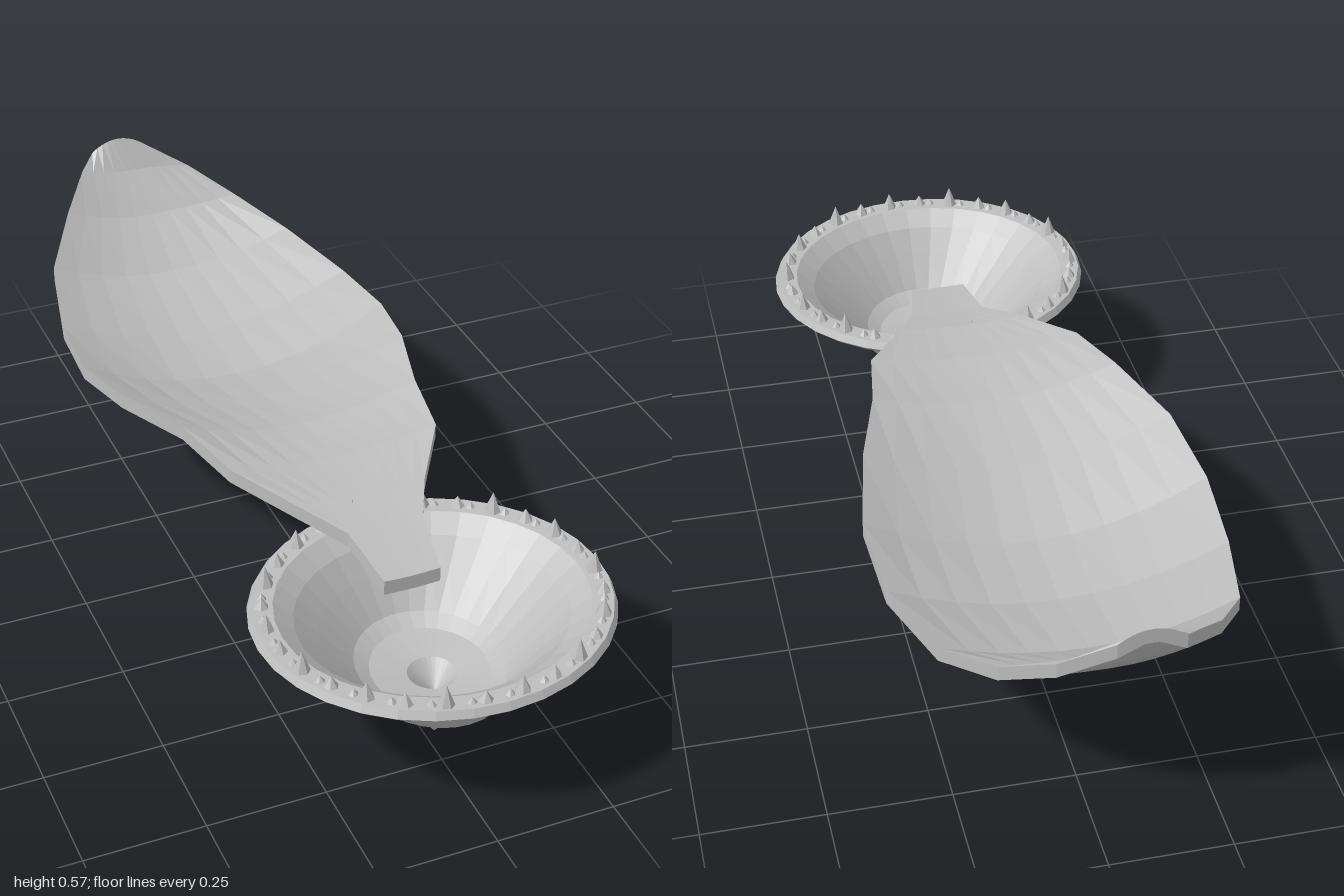
import * as THREE from 'three';

const grey = new THREE.MeshStandardMaterial({ color: 0xbebebe, flatShading: true });
grey.name = 'plain grey';

// Skins a list of equal-sized closed rings and caps both ends.
function loft(rings) {
  const n = rings[0].length, last = rings.length - 1;
  const pos = [], index = [];
  rings.forEach(ring => ring.forEach(p => pos.push(...p)));
  for (let i = 0; i < last; i++) {
    for (let j = 0; j < n; j++) {
      const k = (j + 1) % n;
      const a = i * n + j, b = i * n + k, c = a + n, d = b + n;
      index.push(a, b, c, b, d, c);
    }
  }
  for (const [row, flip] of [[0, true], [last, false]]) {
    const centre = pos.length / 3;
    pos.push(...[0, 1, 2].map(k => rings[row].reduce((s, p) => s + p[k], 0) / n));
    for (let j = 0; j < n; j++) {
      const a = row * n + j, b = row * n + (j + 1) % n;
      if (flip) index.push(centre, b, a);
      else index.push(centre, a, b);
    }
  }
  const g = new THREE.BufferGeometry();
  g.setAttribute('position', new THREE.Float32BufferAttribute(pos, 3));
  g.setIndex(index);
  g.computeVertexNormals();
  return g;
}

function part(name, geometry) {
  const mesh = new THREE.Mesh(geometry, grey);
  mesh.name = name;
  return mesh;
}

// Long scooped leaf: z, left x, right x, height at each edge, height along the middle
function leafGeometry() {
  const rows = [
    [0.575, -0.055, 0.067, 0.337, 0.337, 0.335],
    [0.43, -0.07, 0.095, 0.36, 0.36, 0.357],
    [0.34, -0.14, 0.14, 0.385, 0.382, 0.376],
    [0.2, -0.235, 0.23, 0.412, 0.406, 0.384],
    [0.04, -0.28, 0.255, 0.43, 0.416, 0.372],
    [-0.15, -0.35, 0.31, 0.412, 0.41, 0.328],
    [-0.34, -0.375, 0.345, 0.38, 0.38, 0.275],
    [-0.54, -0.36, 0.335, 0.367, 0.365, 0.28],
    [-0.75, -0.315, 0.275, 0.4, 0.385, 0.33],
    [-0.88, -0.235, 0.19, 0.465, 0.432, 0.42],
    [-0.96, -0.17, 0.1, 0.525, 0.49, 0.505],
    [-1, -0.13, 0, 0.55, 0.55, 0.575],
  ];
  const steps = 10;
  return loft(rows.map(([z, xl, xr, yl, yr, yc]) => {
    const top = [], under = [];
    for (let j = 0; j <= steps; j++) {
      const u = -1 + 2 * j / steps;
      const x = xl + (xr - xl) * j / steps;
      const y = yc + ((u < 0 ? yl : yr) - yc) * u * u;
      top.push([x, y, z]);
      under.unshift([x, y - 0.032, z]);
    }
    return [...top, ...under];
  }));
}

// Bowl with hollow stem point: x radius, z radius, y, x offset; up the outside, down the inside
function bowlGeometry() {
  const rows = [
    [0.004, 0.004, 0, 0.015],
    [0.018, 0.018, 0.02, 0.015],
    [0.03, 0.03, 0.06, 0.014],
    [0.045, 0.045, 0.1, 0.012],
    [0.075, 0.075, 0.132, 0.006],
    [0.135, 0.155, 0.141, 0],
    [0.155, 0.18, 0.16, 0],
    [0.195, 0.205, 0.205, 0],
    [0.245, 0.235, 0.26, 0],
    [0.295, 0.265, 0.302, 0],
    [0.355, 0.33, 0.312, 0],
    [0.366, 0.34, 0.322, 0],
    [0.358, 0.332, 0.338, 0],
    [0.315, 0.29, 0.336, 0],
    [0.275, 0.25, 0.305, 0],
    [0.225, 0.215, 0.255, 0],
    [0.15, 0.165, 0.18, 0],
    [0.12, 0.13, 0.162, 0],
    [0.05, 0.05, 0.15, 0.005],
    [0.004, 0.004, 0.1, 0.012],
  ];
  const sides = 32;
  return loft(rows.map(([rx, rz, y, dx]) => Array.from({ length: sides }, (_, j) => {
    const t = j / sides * Math.PI * 2;
    return [dx + rx * Math.cos(t), y, -rz * Math.sin(t)];
  })));
}

export function createModel() {
  const model = new THREE.Group();
  model.name = 'leafAndBowl';
  model.add(part('leaf', leafGeometry()));

  const flower = new THREE.Group();
  flower.name = 'toothedBowl';
  flower.position.set(0.01, 0, 0.66);
  flower.add(part('bowl', bowlGeometry()));

  // Ring of small thorns, each with a lower knob beside it
  const thorn = new THREE.ConeGeometry(0.02, 1, 6).translate(0, 0.5, 0);
  const heights = [0.052, 0.034, 0.044, 0.03];
  const count = 28;
  for (let i = 0; i < count; i++) {
    const tooth = (name, step, height, width) => {
      const t = (i + step) / count * Math.PI * 2;
      const m = part(name, thorn);
      m.position.set(0.337 * Math.cos(t), 0.33, 0.312 * Math.sin(t));
      m.scale.set(width, height, width);
      m.rotation.y = -t;
      flower.add(m);
    };
    tooth('thorn', 0.5, heights[i % 4], 1);
    tooth('thornKnob', 0.85, 0.02, 0.8);
  }
  model.add(flower);
  return model;
}
